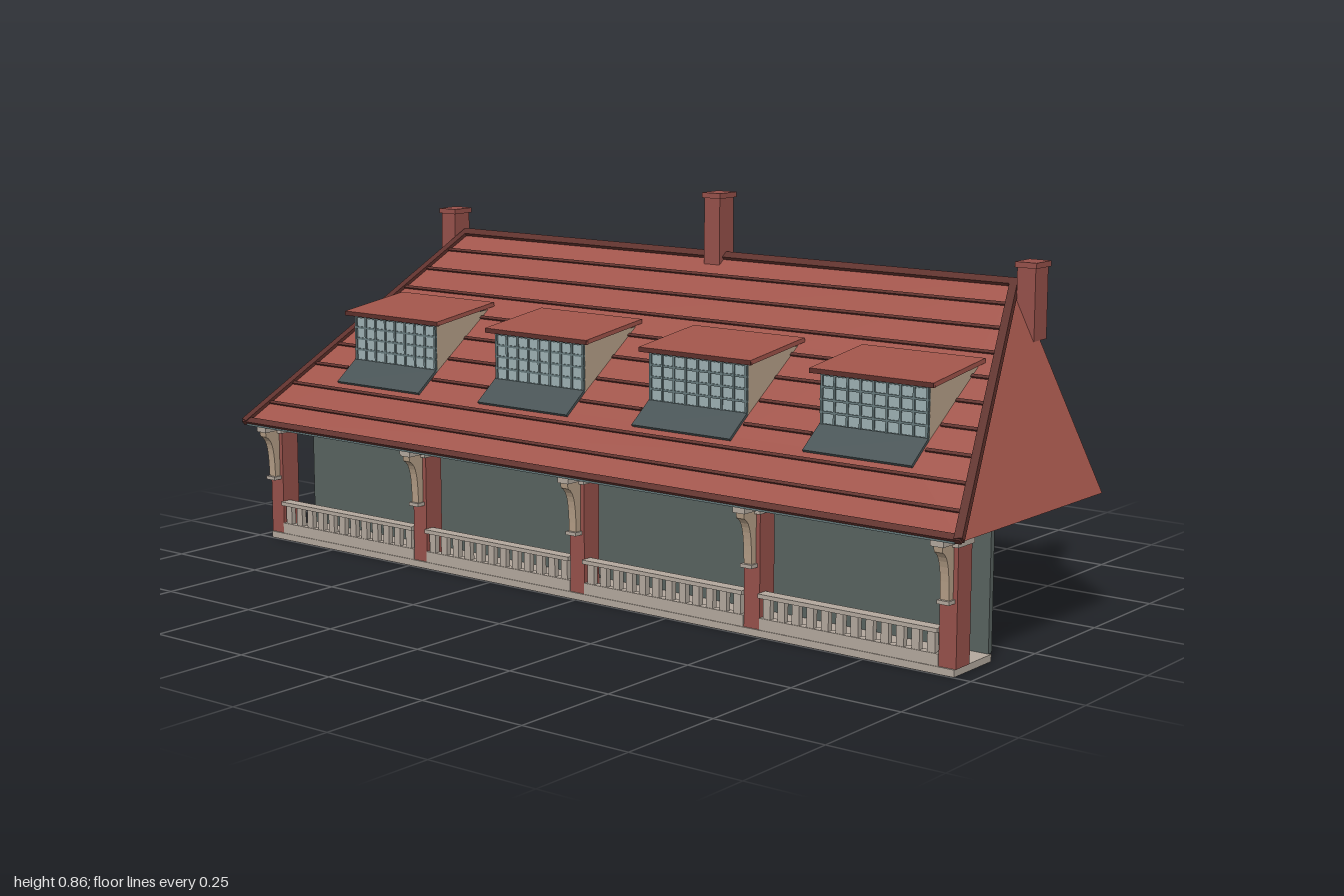
import * as THREE from 'three';

const mat = (name, color, side = THREE.FrontSide) => {
  const m = new THREE.MeshStandardMaterial({ color, side });
  m.name = name;
  return m;
};

export function createModel() {
  const red = mat('red tile', 0xa0544a, THREE.DoubleSide);
  const darkRed = mat('dark red trim', 0x5e302b);
  const brick = mat('brick', 0x96504a);
  const wallGrey = mat('dark slate wall', 0x58625f);
  const slate = mat('slate', 0x66797b);
  const lead = mat('lead', 0x485355);
  const stone = mat('stone', 0xb3a89d);
  const beige = mat('beige timber', 0xb59f87, THREE.DoubleSide);
  const glass = mat('window pane', 0x9db0b3);

  const model = new THREE.Group();
  model.name = 'longHouse';

  const add = (parent, name, geo, material) => {
    const m = new THREE.Mesh(geo, material);
    m.name = name;
    parent.add(m);
    return m;
  };
  // Box given by its limits on each axis
  const box = (parent, name, material, x0, x1, y0, y1, z0, z1) => {
    const m = add(parent, name, new THREE.BoxGeometry(x1 - x0, y1 - y0, z1 - z0), material);
    m.position.set((x0 + x1) / 2, (y0 + y1) / 2, (z0 + z1) / 2);
    return m;
  };
  const group = (parent, name) => {
    const g = new THREE.Group();
    g.name = name;
    parent.add(g);
    return g;
  };

  // Floor, back wall and porch ceiling
  box(model, 'floor', stone, -0.96, 0.96, 0, 0.015, 0.105, 0.247);
  box(model, 'wall', wallGrey, -0.955, 0.955, 0.015, 0.28, 0.095, 0.108);
  box(model, 'ceiling', slate, -0.955, 0.955, 0.278, 0.283, 0.095, 0.25);
  box(model, 'gutter', slate, -0.985, 0.985, 0.28, 0.291, 0.22, 0.297);

  // Columns with capitals and curved brackets
  const curve = new THREE.Shape();
  curve.moveTo(0.24, 0.155);
  curve.lineTo(0.258, 0.155);
  curve.bezierCurveTo(0.26, 0.21, 0.262, 0.245, 0.285, 0.255);
  curve.lineTo(0.287, 0.27);
  curve.lineTo(0.24, 0.27);
  const bracketGeo = new THREE.ExtrudeGeometry(curve, { depth: 0.02, bevelEnabled: false, curveSegments: 8 });
  bracketGeo.rotateY(-Math.PI / 2);          // profile x becomes z
  bracketGeo.translate(0.01, 0, 0);
  const columnX = [-0.942, -0.47, 0, 0.47, 0.942];
  for (const x of columnX) {
    const c = group(model, 'column');
    c.position.x = x;
    box(c, 'shaft', brick, -0.02, 0.02, 0.015, 0.262, 0.192, 0.243);
    box(c, 'capitalLower', stone, -0.023, 0.023, 0.26, 0.272, 0.188, 0.249);
    box(c, 'capitalUpper', stone, -0.026, 0.026, 0.272, 0.285, 0.187, 0.251);
    box(c, 'bracketTop', stone, -0.015, 0.015, 0.267, 0.279, 0.24, 0.291);
    box(c, 'bracketFoot', stone, -0.014, 0.014, 0.147, 0.155, 0.24, 0.265);
    add(c, 'bracket', bracketGeo, beige);
  }

  // Balustrade in each bay
  for (let i = 0; i < 4; i++) {
    const x0 = columnX[i] + 0.02, x1 = columnX[i + 1] - 0.02;
    const b = group(model, 'balustrade');
    box(b, 'lowerRail', stone, x0, x1, 0.015, 0.04, 0.226, 0.245);
    box(b, 'handRail', stone, x0, x1, 0.084, 0.093, 0.222, 0.251);
    const n = 12, pitch = (x1 - x0) / n;
    for (let k = 0; k < n; k++) {
      const x = x0 + (k + 0.5) * pitch;
      box(b, 'baluster', stone, x - 0.009, x + 0.009, 0.04, 0.084, 0.23, 0.243);
    }
  }

  // Roof slope frame: local x across, local y up the slope, local z outward
  const eaveY = 0.287, eaveZ = 0.294, rise = 0.425, run = 0.564;
  const len = Math.hypot(rise, run);
  const up = (z) => (eaveZ - z) / run * len;
  const slope = group(model, 'roofSlope');
  slope.position.set(0, eaveY, eaveZ);
  slope.rotation.x = -Math.atan2(run, rise);

  const dormerX = [-0.673, -0.224, 0.224, 0.673];
  const holeLow = up(0.155), holeHigh = up(-0.064), holeHalf = 0.128;
  const roof = new THREE.Shape([[-0.995, 0], [0.995, 0], [0.78, len], [-0.78, len]].map(p => new THREE.Vector2(...p)));
  for (const x of dormerX) {
    roof.holes.push(new THREE.Path([[-1, holeLow], [-1, holeHigh], [1, holeHigh], [1, holeLow]]
      .map(([s, v]) => new THREE.Vector2(x + s * holeHalf, v))));
  }
  add(slope, 'tiles', new THREE.ShapeGeometry(roof), red);

  // Course lines, broken where the dormers stand
  const courses = 10;
  for (let i = 1; i < courses; i++) {
    const v = i * len / courses;
    const half = 0.99 - 0.215 * v / len;
    const cuts = [-half];
    if (v > holeLow - 0.02 && v < holeHigh + 0.01) {
      for (const x of dormerX) cuts.push(x - 0.138, x + 0.138);
    }
    cuts.push(half);
    for (let k = 0; k < cuts.length; k += 2) {
      if (cuts[k + 1] > cuts[k]) box(slope, 'courseLine', darkRed, cuts[k], cuts[k + 1], v - 0.004, v + 0.004, -0.001, 0.004);
    }
  }

  // Eave, ridge and hip trims
  box(slope, 'eaveTrim', darkRed, -0.998, 0.998, -0.004, 0.012, -0.005, 0.006);
  box(slope, 'ridgeTrim', darkRed, -0.785, 0.785, len - 0.016, len + 0.003, -0.006, 0.008);
  for (const s of [-1, 1]) {
    const hip = box(slope, 'hipTrim', darkRed, -0.009, 0.009, 0, Math.hypot(len, 0.215), -0.006, 0.008);
    hip.position.set(s * 0.8855, len / 2, 0.001);
    hip.rotation.z = s * Math.atan2(0.215, len);
    // Triangular hip end
    const geo = new THREE.BufferGeometry();
    geo.setAttribute('position', new THREE.Float32BufferAttribute([
      s * 0.997, 0.285, eaveZ, s * 0.997, 0.285, -0.27, s * 0.78, eaveY + rise, -0.27], 3));
    if (s < 0) geo.setIndex([0, 2, 1]);
    else geo.setIndex([0, 1, 2]);
    geo.computeVertexNormals();
    add(model, 'hipEnd', geo, red);
  }

  // Dormers
  const roofY = (z) => eaveY + (eaveZ - z) / run * rise;
  for (const x of dormerX) {
    const d = group(model, 'dormer');
    d.position.x = x;
    const y0 = roofY(0.105), y1 = 0.543, w = 0.132;
    box(d, 'windowFrame', slate, -w, w, y0 - 0.012, y1, 0.098, 0.104);
    box(d, 'panes', glass, -w + 0.008, w - 0.008, y0 + 0.006, y1 - 0.008, 0.103, 0.105);
    for (let i = 0; i <= 8; i++) {
      const bx = -w + 0.004 + i * (2 * w - 0.008) / 8;
      box(d, 'uprightBar', slate, bx - 0.0025, bx + 0.0025, y0, y1, 0.104, 0.108);
    }
    for (let i = 0; i <= 4; i++) {
      const by = y0 + 0.004 + i * (y1 - y0 - 0.008) / 4;
      box(d, 'crossBar', slate, -w, w, by - 0.0025, by + 0.0025, 0.104, 0.1075);
    }
    // Slightly splayed triangular cheeks
    for (const s of [-1, 1]) {
      const geo = new THREE.BufferGeometry();
      geo.setAttribute('position', new THREE.Float32BufferAttribute([
        s * w, y0 - 0.01, 0.103, s * 0.14, roofY(-0.068), -0.068, s * w, y1 + 0.002, 0.103], 3));
      if (s < 0) geo.setIndex([0, 2, 1]);
      else geo.setIndex([0, 1, 2]);
      geo.computeVertexNormals();
      add(d, 'cheek', geo, beige);
    }
    // Low-pitched dormer roof
    const top = box(d, 'dormerRoof', red, -0.15, 0.15, -0.005, 0.005, -0.1, 0.1);
    top.position.set(0, 0.559, 0.021);
    top.rotation.x = Math.atan2(0.025, 0.197);
    box(d, 'dormerFascia', darkRed, -0.15, 0.15, 0.541, 0.551, 0.113, 0.121);
    // Lead apron lying on the slope below the window
    box(slope, 'apron', lead, x - 0.132, x + 0.132, up(0.165), up(0.103), -0.003, 0.006);
  }

  // Chimneys
  for (const [x, top] of [[-0.82, 0.768], [0, 0.855], [0.82, 0.758]]) {
    const c = group(model, 'chimney');
    c.position.x = x;
    box(c, 'stack', brick, -0.022, 0.022, 0.592, top - 0.01, -0.295, -0.242);
    box(c, 'cap', brick, -0.026, 0.026, top - 0.012, top, -0.3, -0.238);
  }
  return model;
}
